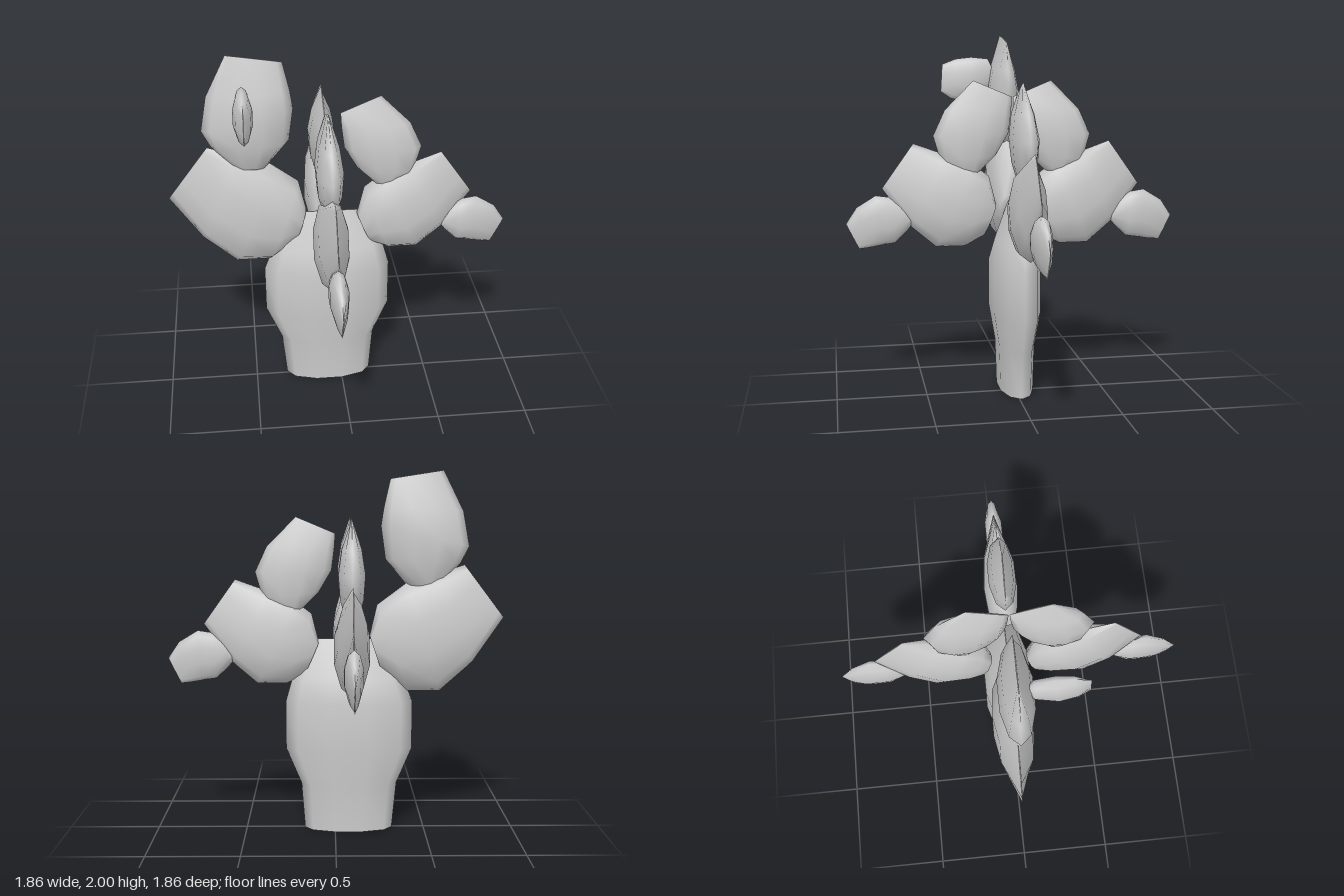
import * as THREE from 'three';

const SIDES = 10;
const material = new THREE.MeshStandardMaterial({ color: 0xcccccc, side: THREE.DoubleSide });

// Flattened pad lofted through elliptical rings.
// Each station is [ax, ay, bx, by, d]: two outline points and the half thickness.
function padGeometry(stations, openBase = false) {
  const pos = [], index = [];
  for (const [ax, ay, bx, by, d] of stations) {
    for (let k = 0; k < SIDES; k++) {
      const a = (k / SIDES) * Math.PI * 2;
      const t = (1 - Math.cos(a)) / 2;
      pos.push(ax + (bx - ax) * t, ay + (by - ay) * t, d * Math.sin(a));
    }
  }
  for (let i = 0; i < stations.length - 1; i++) {
    for (let k = 0; k < SIDES; k++) {
      const k2 = (k + 1) % SIDES;
      const a = i * SIDES + k, b = i * SIDES + k2;
      const c = a + SIDES, e = b + SIDES;
      index.push(a, b, c, b, e, c);
    }
  }
  // Fans closing the tip and, for pads, the base
  const last = (stations.length - 1) * SIDES;
  for (let k = 1; k < SIDES - 1; k++) {
    index.push(last, last + k, last + k + 1);
    if (!openBase) index.push(0, k + 1, k);
  }
  const g = new THREE.BufferGeometry();
  g.setAttribute('position', new THREE.Float32BufferAttribute(pos, 3));
  g.setIndex(index);
  g.computeVertexNormals();
  return g;
}

function pad(name, stations, z = 0, openBase = false) {
  const mesh = new THREE.Mesh(padGeometry(stations, openBase), material);
  mesh.name = name;
  mesh.position.z = z;
  return mesh;
}

const TRUNK = [
  [-0.32, 0, 0.17, 0, 0.098],
  [-0.345, 0.26, 0.19, 0.26, 0.105],
  [-0.43, 0.46, 0.275, 0.46, 0.138],
  [-0.43, 0.73, 0.275, 0.73, 0.138],
  [-0.38, 0.86, 0.235, 0.87, 0.1],
  [-0.26, 1.08, 0.1, 1.08, 0.005],
];
const BRANCH = [
  [0.09, 1.06, 0.17, 0.88, 0.06],
  [0.13, 1.22, 0.27, 0.83, 0.085],
  [0.22, 1.29, 0.43, 0.83, 0.098],
  [0.37, 1.345, 0.57, 0.95, 0.08],
  [0.55, 1.41, 0.725, 1.165, 0.004],
];
const UPPER = [
  [0.21, 1.22, 0.3, 1.2, 0.03],
  [0.17, 1.26, 0.32, 1.25, 0.045],
  [0.09, 1.34, 0.4, 1.31, 0.065],
  [0.02, 1.46, 0.44, 1.45, 0.075],
  [0.005, 1.58, 0.375, 1.59, 0.055],
  [0, 1.66, 0.215, 1.75, 0.004],
];
const BUD = [
  [0.57, 1.01, 0.57, 0.95, 0.025],
  [0.61, 1.07, 0.59, 0.925, 0.038],
  [0.68, 1.115, 0.66, 0.86, 0.05],
  [0.76, 1.127, 0.73, 0.85, 0.05],
  [0.865, 1.063, 0.8, 0.838, 0.032],
  [0.925, 0.974, 0.855, 0.832, 0.004],
];
const BIG_BRANCH = [
  [-0.19, 1.1, -0.25, 0.92, 0.07],
  [-0.23, 1.27, -0.4, 0.79, 0.1],
  [-0.39, 1.39, -0.58, 0.79, 0.115],
  [-0.56, 1.44, -0.76, 0.95, 0.09],
  [-0.71, 1.49, -0.93, 1.2, 0.004],
];
const BIG_UPPER = [
  [-0.58, 1.38, -0.4, 1.37, 0.05],
  [-0.69, 1.5, -0.275, 1.52, 0.08],
  [-0.735, 1.59, -0.25, 1.7, 0.093],
  [-0.7, 1.78, -0.265, 1.8, 0.07],
  [-0.59, 2, -0.3, 1.955, 0.004],
];
const FRONT_BUD = [
  [0.04, 1.8, 0.04, 1.7, 0.02],
  [0.07, 1.86, 0.08, 1.66, 0.04],
  [0.17, 1.87, 0.2, 1.61, 0.053],
  [0.26, 1.86, 0.29, 1.63, 0.04],
  [0.34, 1.83, 0.35, 1.67, 0.004],
];

export function createModel() {
  const model = new THREE.Group();
  model.name = 'padCactus';
  model.add(pad('trunk', TRUNK, -0.012, true));

  // Three matching arms: left, front and back
  const arms = [
    ['left', 0, 0, -0.01],
    ['front', -Math.PI / 2, -0.085, 0],
    ['back', Math.PI / 2, -0.085, -0.005],
  ];
  for (const [side, angle, x, z] of arms) {
    const arm = new THREE.Group();
    arm.name = side + 'Arm';
    arm.add(pad(side + 'BranchPad', BRANCH));
    arm.add(pad(side + 'UpperPad', UPPER));
    arm.add(pad(side + 'BudPad', BUD));
    arm.rotation.y = angle;
    arm.position.set(x, 0, z);
    model.add(arm);
  }

  // Larger right arm with a tall pad and a forward bud
  const rightArm = new THREE.Group();
  rightArm.name = 'rightArm';
  rightArm.add(pad('rightBranchPad', BIG_BRANCH, -0.02));
  rightArm.add(pad('rightUpperPad', BIG_UPPER, -0.01));
  const bud = pad('rightFrontBudPad', FRONT_BUD);
  bud.rotation.y = -Math.PI / 2;
  bud.position.x = -0.515;
  rightArm.add(bud);
  model.add(rightArm);

  // Mirrored outlines run the other way round, so flip the faces that point inward
  model.traverse((o) => {
    if (!o.isMesh) return;
    const p = o.geometry.attributes.position, idx = o.geometry.index.array;
    let volume = 0;
    const [a, b, c] = [0, 1, 2].map(() => new THREE.Vector3());
    const origin = new THREE.Vector3();
    for (let i = 0; i < p.count; i++) origin.add(a.fromBufferAttribute(p, i));
    origin.divideScalar(p.count);
    for (let i = 0; i < idx.length; i += 3) {
      a.fromBufferAttribute(p, idx[i]).sub(origin);
      b.fromBufferAttribute(p, idx[i + 1]).sub(origin);
      c.fromBufferAttribute(p, idx[i + 2]).sub(origin);
      volume += a.dot(b.cross(c));
    }
    if (volume < 0) {
      for (let i = 0; i < idx.length; i += 3) [idx[i], idx[i + 1]] = [idx[i + 1], idx[i]];
      o.geometry.computeVertexNormals();
    }
  });
  return model;
}
